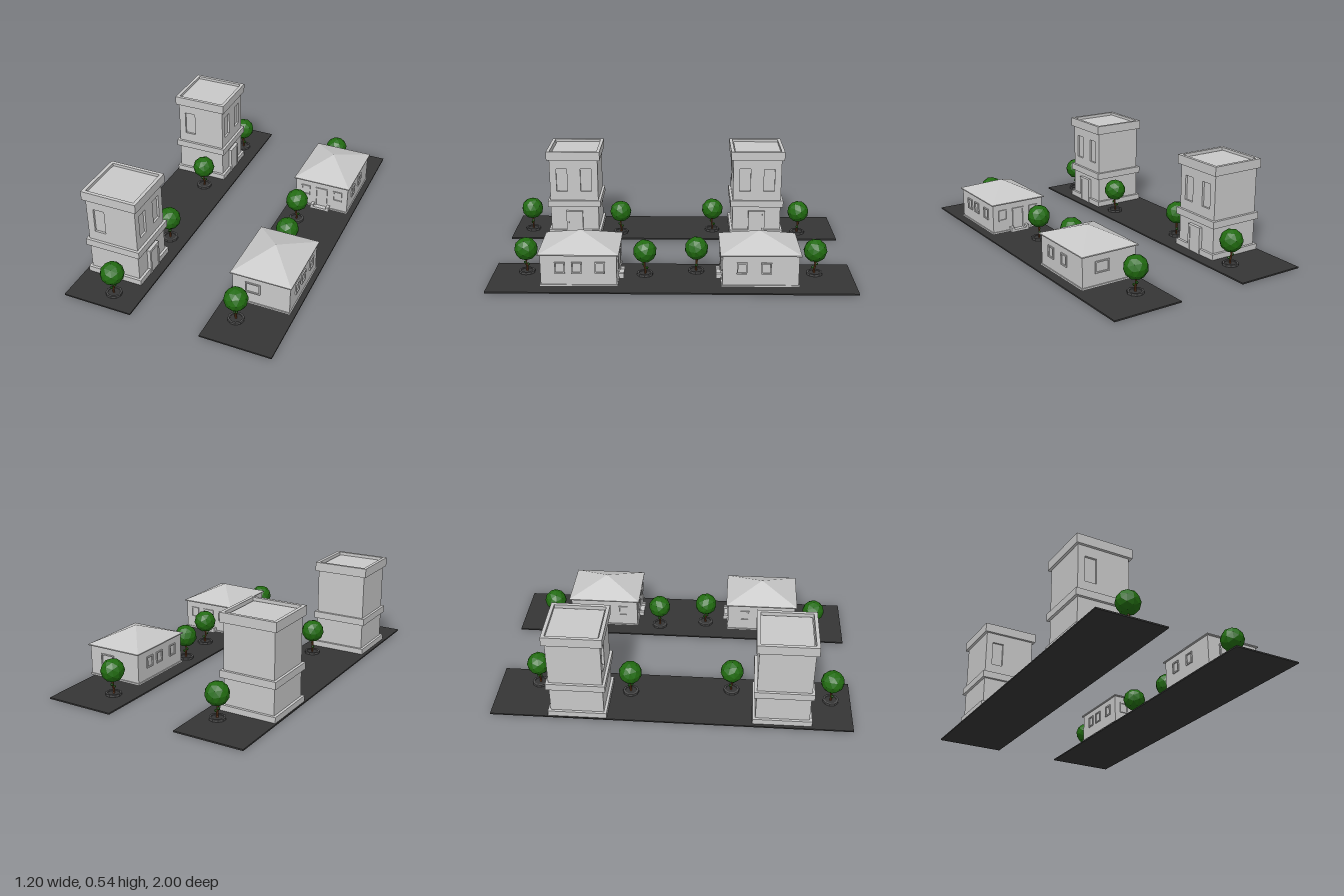
import * as THREE from 'three';

const mat = (name, color) => {
  const m = new THREE.MeshStandardMaterial({ color });
  m.name = name;
  return m;
};

// Faceted normals for low-poly parts
const facet = (geo) => {
  const g = geo.index ? geo.toNonIndexed() : geo;
  g.computeVertexNormals();
  return g;
};

export function createModel() {
  const stone = mat('pale stone', 0xc8c8c8);
  const asphalt = mat('dark ground', 0x353535);
  const kerb = mat('planter grey', 0x4c4c4c);
  const leaf = mat('leaf green', 0x216b10);
  const bark = mat('bark brown', 0x6b3d1e);

  const add = (parent, name, geo, material, x = 0, y = 0, z = 0, ry = 0) => {
    const m = new THREE.Mesh(geo, material);
    m.name = name;
    m.position.set(x, y, z);
    m.rotation.y = ry;
    parent.add(m);
    return m;
  };
  // Box given by its width, its bottom and top, and its depth
  const block = (parent, name, w, y0, y1, d, x = 0, z = 0, material = stone) =>
    add(parent, name, new THREE.BoxGeometry(w, y1 - y0, d), material, x, (y0 + y1) / 2, z);

  const rect = (Type, x0, y0, x1, y1) => {
    const p = new Type();
    p.moveTo(x0, y0);
    p.lineTo(x1, y0);
    p.lineTo(x1, y1);
    p.lineTo(x0, y1);
    p.closePath();
    return p;
  };
  // Plate with rectangular openings, extruded along +z
  const plate = (outer, holes, depth) => {
    const s = rect(THREE.Shape, ...outer);
    holes.forEach((h) => s.holes.push(rect(THREE.Path, ...h)));
    return new THREE.ExtrudeGeometry(s, { depth, bevelEnabled: false });
  };

  // Two-storey tower with its door towards +x
  function tower(x, z) {
    const g = new THREE.Group();
    g.name = 'tower';
    g.position.set(x, 0, z);
    const h = 0.1475, H = 0.1625, t = 0.012;
    block(g, 'core', 2 * h - t, 0.008, 0.525, 2 * h - t, -t / 2, -t / 2);
    block(g, 'plinth', 2 * H, 0.008, 0.04, 2 * H);
    block(g, 'middleBand', 2 * H, 0.19, 0.23, 2 * H);
    // Outer walls with recessed window openings
    const opening = (c) => [c - 0.033, 0.287, c + 0.033, 0.43];
    const wall = [-h, 0.04, h, 0.5];
    add(g, 'frontWall', plate(wall, [opening(-0.074)], t), stone, 0, 0, h - t);
    add(g, 'doorWall', plate(wall, [opening(-0.074), opening(0.074)], t), stone, h - t, 0, 0, Math.PI / 2);
    // Parapet ring around the sunken roof
    const ring = plate([-H, -H, H, H], [[-0.143, -0.143, 0.143, 0.143]], 0.053);
    ring.rotateX(-Math.PI / 2);
    add(g, 'parapet', ring, stone, 0, 0.488, 0);
    // Door surround
    for (const s of [-1, 1]) block(g, 'doorJamb', 0.03, 0.008, 0.164, 0.015, 0.152, s * 0.043);
    block(g, 'doorLintel', 0.03, 0.148, 0.164, 0.1, 0.152, 0);
    block(g, 'door', 0.017, 0.008, 0.148, 0.072, 0.1555, 0).scale.x = 0.97;
    return g;
  }

  // Single-storey house with its porch towards +z
  function house(x, z, ry) {
    const g = new THREE.Group();
    g.name = 'house';
    g.position.set(x, 0, z);
    g.rotation.y = ry;
    const hx = 0.162, hz = 0.203;
    block(g, 'walls', 2 * hx, 0.044, 0.214, 2 * hz);
    block(g, 'floorSlab', 2 * hx + 0.012, 0.036, 0.046, 2 * hz + 0.012);
    block(g, 'eaves', 0.342, 0.211, 0.217, 0.43);
    const roof = new THREE.ConeGeometry(Math.SQRT1_2, 0.08, 4).rotateY(Math.PI / 4);
    roof.scale(0.342, 1, 0.43);
    add(g, 'hippedRoof', facet(roof), stone, 0, 0.257, 0);

    // Raised window frames: wall angle, distance of the wall, offsets along it, width
    const sides = [
      [0, hz, [-0.1, 0.1], 0.055],
      [Math.PI, hz, [-0.045], 0.085],
      [-Math.PI / 2, hx, [-0.1, -0.01, 0.115], 0.055],
      [Math.PI / 2, hx, [-0.1, 0.03], 0.055],
    ];
    for (const [angle, dist, offsets, w] of sides) {
      const wall = new THREE.Group();
      wall.name = 'windowRow';
      wall.rotation.y = angle;
      for (const o of offsets) {
        const frame = plate([-w / 2, 0.11, w / 2, 0.175], [[-w / 2 + 0.007, 0.117, w / 2 - 0.007, 0.168]], 0.007);
        add(wall, 'windowFrame', frame, stone, o, 0, dist);
      }
      g.add(wall);
    }
    // Door frame and porch steps between low side walls
    add(g, 'doorFrame', plate([-0.037, 0.046, 0.037, 0.175], [[-0.029, 0.047, 0.029, 0.167]], 0.007), stone, 0, 0, hz);
    block(g, 'porchStep', 0.09, 0.036, 0.05, 0.028, 0, hz + 0.014);
    for (const s of [-1, 1]) block(g, 'porchSideWall', 0.018, 0.036, 0.064, 0.03, s * 0.048, hz + 0.015);
    return g;
  }

  // Street tree in a round planter
  const crownGeo = facet(new THREE.IcosahedronGeometry(0.066, 1));
  const tuftGeo = facet(new THREE.IcosahedronGeometry(0.009, 0));
  const trunkCurve = new THREE.CatmullRomCurve3([
    [0, 0.01, 0], [0.003, 0.035, 0.002], [-0.003, 0.06, -0.002], [0, 0.1, 0],
  ].map((p) => new THREE.Vector3(...p)));
  const trunkGeo = facet(new THREE.TubeGeometry(trunkCurve, 6, 0.006, 6));
  const planterGeo = facet(new THREE.LatheGeometry(
    [[0.045, 0], [0.045, 0.013], [0.034, 0.013], [0.034, 0.006]].map((p) => new THREE.Vector2(...p)), 10));
  function tree(x, z, turn) {
    const g = new THREE.Group();
    g.name = 'tree';
    g.position.set(x, 0, z);
    g.rotation.y = turn;
    add(g, 'planterRing', planterGeo, kerb, 0, 0.008, 0);
    add(g, 'planterBed', new THREE.CylinderGeometry(0.035, 0.035, 0.008, 10), asphalt, 0, 0.012, 0);
    add(g, 'trunk', trunkGeo, bark);
    add(g, 'crown', crownGeo, leaf, 0, 0.148, 0).rotation.set(0.55, 0.3, 0.1);
    add(g, 'tuft', tuftGeo, leaf, 0.011, 0.05, 0.003);
    add(g, 'tuft', tuftGeo, leaf, -0.009, 0.068, -0.005);
    return g;
  }

  const model = new THREE.Group();
  model.name = 'streetBlock';
  for (const s of [-1, 1]) block(model, 'groundStrip', 0.4, 0, 0.008, 2, s * 0.4, 0, asphalt);
  model.add(tower(-0.432, -0.512), tower(-0.418, 0.6125));
  model.add(house(0.412, -0.473, 0), house(0.416, 0.494, Math.PI));
  const spots = [
    [-0.315, -0.772], [-0.358, -0.241], [-0.305, 0.33], [-0.358, 0.889],
    [0.332, -0.793], [0.305, -0.135], [0.353, 0.151], [0.326, 0.814],
  ];
  spots.forEach(([x, z], i) => model.add(tree(x, z, i * 1.3)));
  return model;
}
